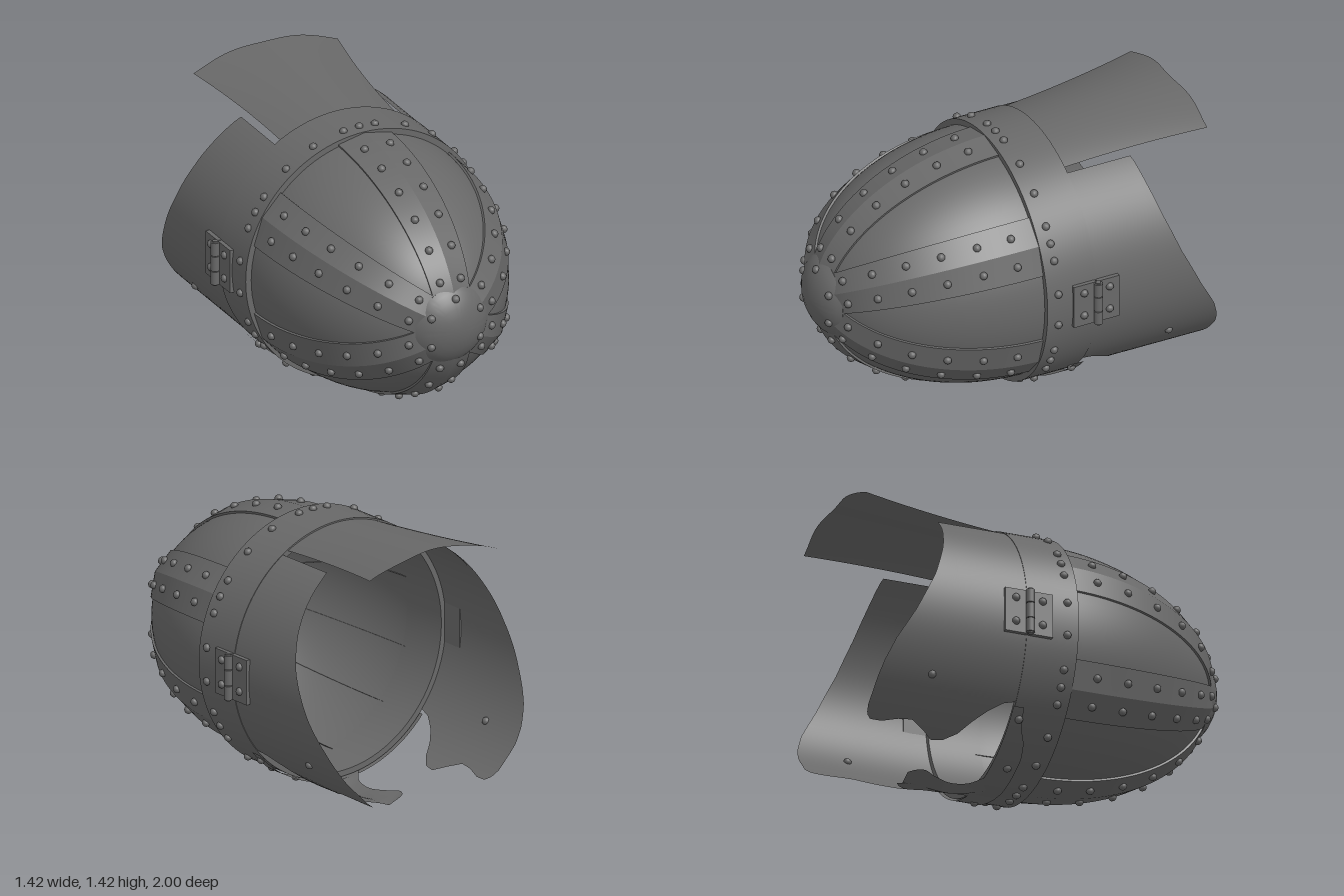
import * as THREE from 'three';
import { ParametricGeometry } from 'three/addons/geometries/ParametricGeometry.js';
import { toCreasedNormals } from 'three/addons/utils/BufferGeometryUtils.js';

const CY = 0.715;              // height of the helmet axis, which runs along z
const DOME_R = 0.63, DOME_L = 0.95, BAND_R = 0.66;
const rad = THREE.MathUtils.degToRad;

// Linear lookup in a list of [key, value] with falling keys
function lookup(table, x) {
  for (let i = 1; i < table.length; i++) {
    const [x0, y0] = table[i - 1], [x1, y1] = table[i];
    if (x >= x1) return y0 + (y1 - y0) * THREE.MathUtils.clamp((x - x0) / (x1 - x0), 0, 1);
  }
  return table[table.length - 1][1];
}

const polar = (a, r, z) => new THREE.Vector3(r * Math.cos(a), CY + r * Math.sin(a), z);

// Dome surface: a is the angle around the axis, t runs from rim (0) to tip (PI/2)
function domeNormal(a, t) {
  const n = new THREE.Vector2(Math.cos(t) / DOME_R, Math.sin(t) / DOME_L).normalize();
  return new THREE.Vector3(n.x * Math.cos(a), n.x * Math.sin(a), n.y);
}
const domePoint = (a, t, h) =>
  polar(a, DOME_R * Math.cos(t), DOME_L * Math.sin(t)).addScaledVector(domeNormal(a, t), h);

export function createModel() {
  const model = new THREE.Group();
  model.name = 'helmet';
  const steel = new THREE.MeshStandardMaterial({ color: 0x686868, side: THREE.DoubleSide });
  steel.name = 'dark steel';

  const add = (name, geometry, parent = model) => {
    const mesh = new THREE.Mesh(geometry, steel);
    mesh.name = name;
    parent.add(mesh);
    return mesh;
  };
  const sheet = (name, fn, nu, nv, crease) => {
    const g = new ParametricGeometry(fn, nu, nv);
    return add(name, crease ? toCreasedNormals(g, crease) : g);
  };
  const lathe = (name, pts, crease) => {
    const g = new THREE.LatheGeometry(pts.map(p => new THREE.Vector2(...p)), 96).rotateX(Math.PI / 2);
    const mesh = add(name, crease ? toCreasedNormals(g, crease) : g);
    mesh.position.y = CY;
    return mesh;
  };

  // Rivet heads
  const rivets = new THREE.Group();
  rivets.name = 'rivets';
  model.add(rivets);
  const rivetGeo = new THREE.SphereGeometry(0.02, 12, 8).scale(1, 1, 0.9);
  const Z = new THREE.Vector3(0, 0, 1);
  const rivet = (pos, normal) => {
    const m = add('rivet', rivetGeo, rivets);
    m.position.copy(pos);
    m.quaternion.setFromUnitVectors(Z, normal);
  };
  const wallRivet = (a, r, z) => rivet(polar(a, r, z), new THREE.Vector3(Math.cos(a), Math.sin(a), 0));

  // Skull dome, brow band and front boss
  const domePts = [];
  for (let i = 0; i <= 40; i++) {
    const t = (i / 40) * Math.PI / 2;
    domePts.push([DOME_R * Math.cos(t), DOME_L * Math.sin(t)]);
  }
  lathe('dome', domePts);
  lathe('browBand', [[0.63, -0.24], [BAND_R, -0.24], [BAND_R, 0.03], [0.628, 0.03], [0.63, -0.24]], 0.5);
  lathe('boss', [[0.17, 0.895], [0.198, 0.9], [0.2, 0.915], [0.18, 0.938], [0.15, 0.96],
    [0.11, 0.98], [0.06, 0.995], [0, 1]], 0.7);
  for (const d of [-30, 30, 90, 150, 210]) {
    const a = rad(d);
    rivet(polar(a, 0.155, 0.958),
      new THREE.Vector3(0.55 * Math.cos(a), 0.55 * Math.sin(a), 0.835).normalize());
  }

  // Six ridged straps over the dome, with paired rivets, and the band's rivets between them
  const section = [[-1, -0.005], [-1, 0.011], [0, 0.026], [1, 0.011], [1, -0.005]];
  const tEnd = Math.acos(0.165 / DOME_R);
  for (let k = 0; k < 6; k++) {
    const mid = rad(30 + 60 * k);
    sheet('strap', (u, v, p) => {
      const [s, h] = section[Math.round(u * 4)] ?? section[4];
      const t = v * tEnd, r = DOME_R * Math.cos(t);
      const half = 0.1 + 0.045 * (r - 0.2) / 0.43;
      p.copy(domePoint(mid + s * Math.asin(half / r), t, h));
    }, 4, 36, 0.3);
    for (const z of [0.155, 0.325, 0.495, 0.65, 0.785, 0.885]) {
      const t = Math.asin(z / DOME_L), r = DOME_R * Math.cos(t);
      const off = Math.asin((0.047 + 0.035 * r) / r);
      for (const s of [-1, 1]) rivet(domePoint(mid + s * off, t, 0.02), domeNormal(mid + s * off, t));
    }
    for (const d of [-22.5, -7.5, 0, 7.5, 22.5]) wallRivet(mid + rad(d), BAND_R + 0.004, -0.03);
  }

  // Cheek guards: curved sheets with a swept rear edge and a wavy lower edge
  const upper = [[-0.23, 1.27], [-0.59, 1.27], [-0.615, 1.16], [-0.65, 1.03], [-0.715, 0.85],
    [-0.82, 0.635], [-0.91, 0.48], [-0.95, 0.38], [-0.967, 0.31], [-0.975, 0.2]];
  const lower = [[-0.23, 0.3], [-0.3, 0.285], [-0.37, 0.245], [-0.43, 0.2], [-0.48, 0.155], [-0.54, 0.13],
    [-0.6, 0.125], [-0.66, 0.15], [-0.73, 0.175], [-0.8, 0.17], [-0.88, 0.155], [-0.94, 0.155],
    [-0.965, 0.17], [-0.975, 0.2]];
  const wallAngle = y => Math.asin((y - CY) / 0.657);
  for (const side of [-1, 1]) {
    sheet(side > 0 ? 'leftCheekGuard' : 'rightCheekGuard', (u, v, p) => {
      const z = -0.23 - 0.745 * u;
      const a0 = wallAngle(lookup(lower, z)), a1 = wallAngle(lookup(upper, z));
      p.copy(polar(a0 + (a1 - a0) * v, 0.657, z));
      p.x *= side;
    }, 90, 30);
    const a = wallAngle(0.35);
    wallRivet(side > 0 ? a : Math.PI - a, 0.657, -0.695);

    // Hinge joining cheek guard and band
    const hinge = new THREE.Group();
    hinge.name = side > 0 ? 'leftHinge' : 'rightHinge';
    hinge.position.set(side * 0.66, 0.71, -0.235);
    model.add(hinge);
    for (const s of [-1, 1]) {
      add('hingePlate', new THREE.BoxGeometry(0.022, 0.23, 0.122), hinge).position.z = s * 0.064;
      for (const dy of [-0.063, 0.063]) {
        rivet(new THREE.Vector3(side * 0.672, 0.715 + dy, -0.235 + s * 0.07), new THREE.Vector3(side, 0, 0));
      }
    }
    for (const [y, h] of [[-0.078, 0.07], [0, 0.078], [0.078, 0.07]]) {
      add('hingeKnuckle', new THREE.CylinderGeometry(0.022, 0.022, h, 16), hinge).position.set(side * 0.026, y, 0);
    }
    add('hingePin', new THREE.CylinderGeometry(0.014, 0.014, 0.24, 12), hinge).position.x = side * 0.026;
  }

  // Neck guard: arched sheet flaring toward the rear
  sheet('neckGuard', (u, v, p) => {
    const s = 2 * u - 1;
    const half = 0.32 + 0.015 * v + 0.065 * v * v;
    p.set(s * half, 1.367 + 0.058 * v - 0.083 * s * s,
      -0.235 - v * (0.75 + 0.0075 * (1 - Math.cos(2 * Math.PI * s))));
  }, 32, 16);

  // Nasal mount: a plate wrapped under the band, tapering to its ends
  const mountEdge = [[49, -0.195], [45, -0.19], [39, -0.175], [33, -0.14], [25, -0.12], [0, -0.11]];
  sheet('nasalMount', (u, v, p) => {
    const d = (2 * u - 1) * 49;
    const front = lookup(mountEdge, Math.abs(d));
    p.copy(polar(rad(d - 90), 0.67, -0.25 + (front + 0.25) * v));
  }, 48, 4);
  for (const s of [-1, 1]) {
    wallRivet(rad(-90 + s * 43.5), 0.67, -0.205);
    wallRivet(rad(-90 + s * 18.6), 0.67, -0.165);
  }

  // Nasal: ridged tongue with a narrow waist and a wider tip
  const nasalPath = new THREE.CatmullRomCurve3([   // x holds the half width
    [0.17, 0.042, -0.2], [0.11, 0.03, -0.25], [0.068, 0.01, -0.31], [0.06, 0.0, -0.4],
    [0.085, 0.008, -0.49], [0.12, 0.016, -0.56], [0.105, 0.016, -0.6], [0.07, 0.014, -0.63],
  ].map(q => new THREE.Vector3(...q)));
  sheet('nasal', (u, v, p) => {
    const s = 2 * u - 1, q = nasalPath.getPoint(v);
    p.set(s * q.x, q.y + 0.028 * Math.abs(s), q.z);
  }, 8, 36, 0.5);

  return model;
}
